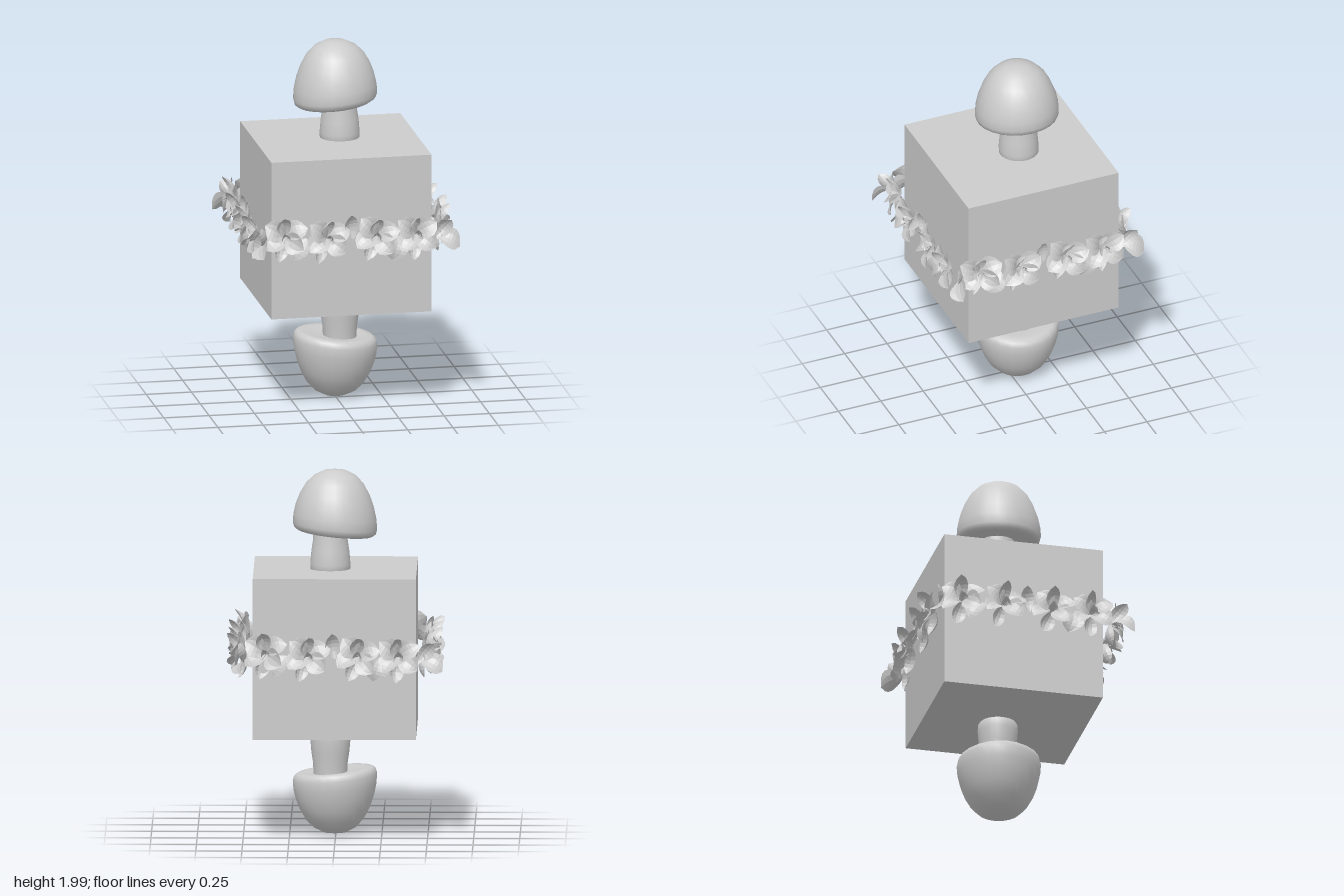
import * as THREE from 'three';
import { ParametricGeometry } from 'three/addons/geometries/ParametricGeometry.js';
import { toCreasedNormals } from 'three/addons/utils/BufferGeometryUtils.js';

const smooth = new THREE.MeshStandardMaterial({ color: 0xcccccc });
const petalMat = new THREE.MeshStandardMaterial({ color: 0xcccccc, flatShading: true, side: THREE.DoubleSide });

function part(name, geometry, material = smooth) {
  const mesh = new THREE.Mesh(geometry, material);
  mesh.name = name;
  return mesh;
}

// Lathe whose vertices are then moved by a rule
function bentLathe(points, rule) {
  const g = new THREE.LatheGeometry(points.map(([r, y]) => new THREE.Vector2(r, y)), 24);
  const p = g.attributes.position;
  const v = new THREE.Vector3();
  for (let i = 0; i < p.count; i++) {
    rule(v.fromBufferAttribute(p, i));
    p.setXYZ(i, v.x, v.y, v.z);
  }
  return toCreasedNormals(g, 0.9);
}

// Mushroom measured upward from the middle of the model
function mushroom(name) {
  const group = new THREE.Group();
  group.name = name;
  const cap = bentLathe([
    [0.06, 0.665], [0.1, 0.662], [0.17, 0.65], [0.205, 0.65], [0.222, 0.662], [0.229, 0.688], [0.225, 0.74],
    [0.212, 0.8], [0.19, 0.86], [0.157, 0.92], [0.115, 0.963], [0.06, 0.99], [0, 0.997],
  ], (v) => { v.y += 0.1 * v.x * THREE.MathUtils.clamp((0.997 - v.y) / 0.34, 0, 1); v.x += 0.005; });
  const stem = bentLathe([
    [0, 0.425], [0.098, 0.425], [0.108, 0.44], [0.109, 0.48], [0.103, 0.55], [0.094, 0.61], [0.09, 0.69], [0, 0.69],
  ], (v) => { v.x += 0.03 - 0.08 * Math.max(0, 0.55 - v.y) * Math.max(0, v.y - 0.43); });
  group.add(part('cap', cap), part('stem', stem));
  group.position.set(0, 1.003, -0.05);
  return group;
}

// Rounded petal growing along +y, cupped across and curling along its length
function petalGeometry(length, width, cup, curl) {
  return new ParametricGeometry((u, v, target) => {
    const s = u * 2 - 1;
    const half = width * 0.5 * (0.14 * (1 - v) + Math.pow(Math.sin(Math.PI * Math.pow(v, 1.25)), 0.65));
    target.set(s * half + 0.012 * v * v, length * v,
      cup * (s * s - 0.3) * Math.sin(Math.PI * v) + curl * Math.sin(v * 2.6) - curl * 0.6 * v);
  }, 4, 7);
}

const broad = petalGeometry(0.135, 0.115, 0.02, 0.035);
const narrow = petalGeometry(0.145, 0.078, 0.025, -0.03);
const small = petalGeometry(0.07, 0.05, 0.025, 0.015);

// Petals of a flower: shape, angle in the face plane, forward tilt, twist
const petals = [
  [narrow, 0.0, 0.45, 0.2], [broad, -0.95, 0.3, -0.5], [broad, 1.05, 0.25, 0.45],
  [broad, -2.2, 0.45, -0.35], [broad, 2.0, 0.4, 0.6], [narrow, 3.05, 0.35, -0.2],
  [small, 0.5, 1.1, 0], [small, 2.6, 1.1, 0.3], [small, -1.6, 1.0, -0.3],
];

function flower(seed) {
  const group = new THREE.Group();
  group.name = 'flower';
  petals.forEach(([geometry, angle, tilt, twist], i) => {
    const wobble = Math.sin(seed * 12.9 + i * 4.7);
    const petal = part(geometry === small ? 'innerPetal' : 'petal', geometry, petalMat);
    petal.rotation.order = 'ZXY';
    petal.rotation.set(tilt + wobble * 0.2, twist + wobble * 0.25, angle + wobble * 0.2);
    group.add(petal);
  });
  return group;
}

// One row of flowers along the front
function garlandSide(index) {
  const side = new THREE.Group();
  side.name = 'garlandSide' + (index + 1);
  const spots = [[-0.37, 1.05, 0.475], [-0.15, 1.035, 0.495], [0.13, 1.035, 0.49], [0.345, 1.035, 0.49]];
  spots.forEach(([x, y, z], i) => {
    const f = flower(i + 1);
    f.position.set(x, y, z);
    f.rotation.set(0.1, 0.15 * Math.sin(i * 2.3) + (i === 0 ? -0.2 : 0), 0.12 * Math.cos(i * 1.9));
    side.add(f);
  });
  // Loose petals filling the gaps and rounding the corner
  [[-0.26, 1.04, 0.5, 2.6], [0.0, 1.02, 0.49, 0.2], [0.25, 1.03, 0.5, 2.9],
    [0.45, 1.0, 0.49, -0.6], [0.47, 1.02, 0.48, -2.0]].forEach(([x, y, z, angle], i) => {
    const petal = part('loosePetal', i % 2 ? narrow : broad, petalMat);
    petal.position.set(x, y, z);
    petal.rotation.order = 'ZXY';
    petal.rotation.set(0.2, 0.6 - 0.3 * i, angle);
    side.add(petal);
  });
  side.rotation.y = index * Math.PI / 2;
  return side;
}

export function createModel() {
  const model = new THREE.Group();
  model.name = 'flowerBandedBlock';

  const block = part('block', new THREE.BoxGeometry(0.885, 0.88, 0.885));
  block.position.set(0.003, 1.015, -0.02);
  model.add(block);

  const lower = mushroom('lowerMushroom');
  lower.rotation.x = Math.PI;
  model.add(mushroom('upperMushroom'), lower);

  const garland = new THREE.Group();
  garland.name = 'garland';
  for (let i = 0; i < 4; i++) garland.add(garlandSide(i));
  model.add(garland);
  return model;
}
